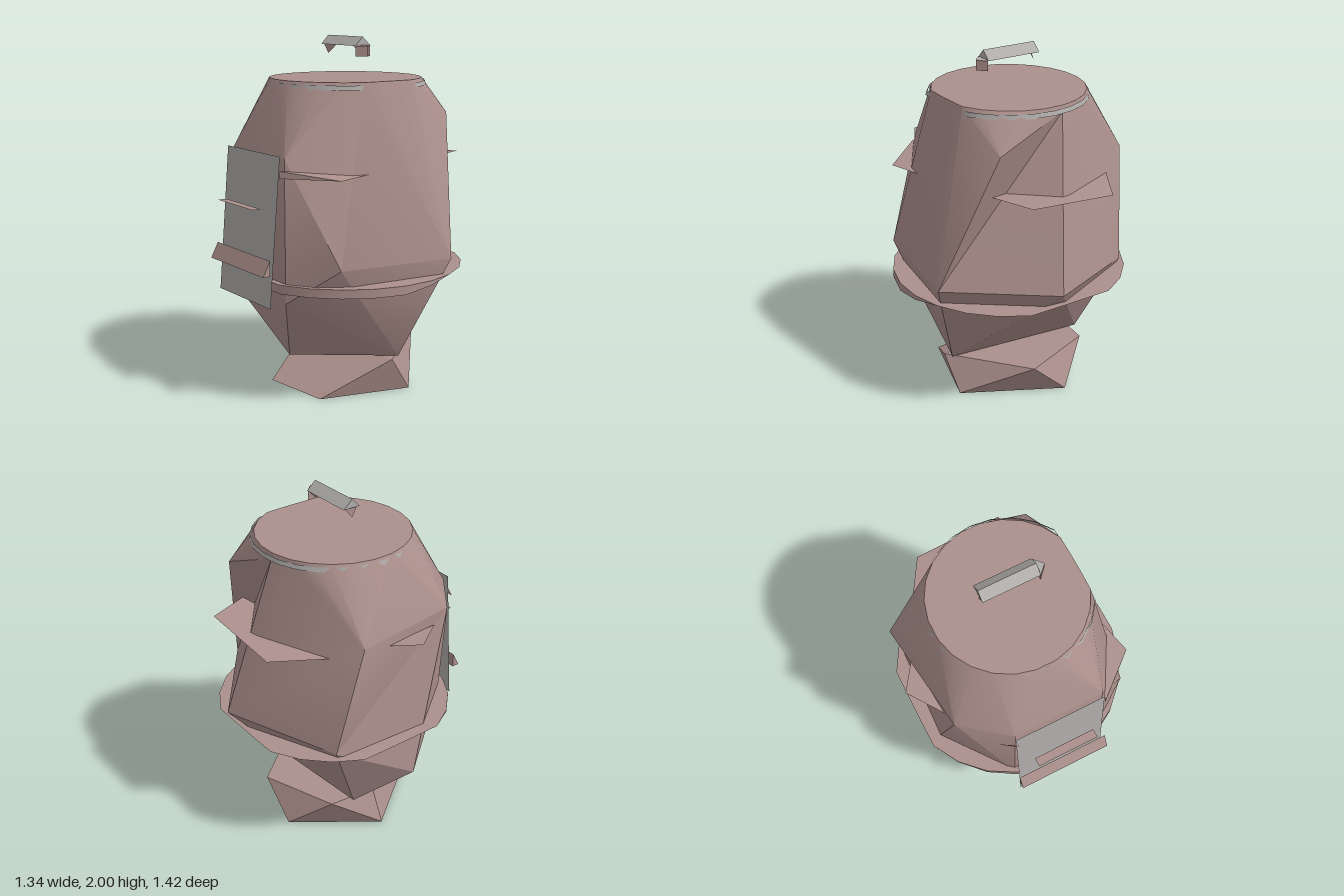
import * as THREE from 'three';
import { toCreasedNormals } from 'three/addons/utils/BufferGeometryUtils.js';
import { ConvexGeometry } from 'three/addons/geometries/ConvexGeometry.js';

const mat = (name, color) => {
  const m = new THREE.MeshStandardMaterial({ color, side: THREE.DoubleSide });
  m.name = name;
  return m;
};

export function createModel() {
  const group = new THREE.Group();
  const brown = mat('dusty brown', 0xac908c);
  const grey = mat('warm grey', 0xb0adab);
  const rad = THREE.MathUtils.degToRad;

  const add = (name, geometry, material) => {
    const mesh = new THREE.Mesh(geometry, material);
    mesh.name = name;
    group.add(mesh);
  };
  // faceted solid around a few corner points
  const hull = (points, crease = 0.5) =>
    toCreasedNormals(new ConvexGeometry(points.map(p => new THREE.Vector3(...p))), crease);
  // flat sheet from its outline corners, as a fan
  const sheet = (points) => {
    const corners = [];
    for (let i = 1; i < points.length - 1; i++) corners.push(...points[0], ...points[i], ...points[i + 1]);
    const g = new THREE.BufferGeometry();
    g.setAttribute('position', new THREE.Float32BufferAttribute(corners, 3));
    g.computeVertexNormals();
    return g;
  };
  // move every vertex by a rule
  const reshape = (geometry, rule) => {
    const p = geometry.attributes.position;
    const v = new THREE.Vector3();
    for (let i = 0; i < p.count; i++) {
      rule(v.fromBufferAttribute(p, i));
      p.setXYZ(i, v.x, v.y, v.z);
    }
    geometry.computeVertexNormals();
    return geometry;
  };

  // rim of the barrel, slightly flattened at its left and front
  const rim = [];
  for (let i = 0; i < 24; i++) {
    const a = rad(7.5 + 15 * i);
    rim.push([Math.min(0.43 * Math.cos(a), 0.4), 1.77, Math.min(0.435 * Math.sin(a) - 0.03, 0.4)]);
  }
  // corners shared by the three solids of the barrel
  const rimBack = [-0.05, 1.74, -0.47];
  const leftBack = [0.63, 0.79, -0.3];
  const rightBack = [-0.53, 0.73, -0.41];
  const rightFront = [-0.52, 1.38, 0.36];
  const frontUpper = [-0.26, 1.38, 0.565];
  const frontLower = [-0.26, 0.59, 0.565];
  const baseFront = [0.05, 0.21, 0.4];
  const baseRight = [-0.39, 0.21, -0.18];

  add('body', hull([
    ...rim.slice(0, 18), rim[23], rimBack,
    [-0.6, 1.38, -0.28], rightFront, frontUpper, [0.27, 1.38, 0.565],
    [0.54, 0.8, 0.39], leftBack, [0.09, 0.79, -0.71], rightBack,
    frontLower, [0.27, 0.59, 0.565], baseFront, [0.43, 0.21, -0.09], baseRight,
  ]), brown);
  // shoulder behind the left side, with a valley next to it
  add('backShoulder', hull([
    ...rim.slice(17), rimBack, [0.35, 1.57, -0.49], leftBack, [0, 1.77, -0.03], [0.1, 1.1, 0],
  ]), brown);
  // swelling low on the right side
  add('lowerBulge', hull([
    [-0.58, 0.4, 0.11], rightFront, rightBack, frontUpper, frontLower, baseFront, baseRight, [0, 0.8, 0],
  ]), brown);

  // thin band peeping out under the rim
  add('rimBand', reshape(
    new THREE.CylinderGeometry(0.446, 0.453, 0.025, 24, 1, true),
    v => v.set(Math.min(v.x + 0.008, 0.4), v.y + 1.743, Math.min(v.z - 0.033, 0.413))), grey);

  // foot
  add('foot', hull([
    [0.28, 0, 0.35], [-0.14, 0, 0.4], [0.43, 0, -0.17], [-0.12, 0, -0.46], [-0.45, 0, -0.01],
    [0.45, 0.205, -0.03], [-0.37, 0.205, -0.02], [-0.34, 0.205, -0.3], [0.1, 0.205, -0.46],
  ], 0.4), brown);

  // lower hoop: flat ring with a wall that thins out towards both ends
  const trim = (v) => {
    v.x = Math.max(v.x, -0.63);
    v.z = THREE.MathUtils.clamp(v.z, -0.63, 0.63) - 0.03;
  };
  const ringSheet = (start, length, segments) =>
    new THREE.RingGeometry(0.5, 0.68, segments, 1, start - Math.PI / 2, length).rotateX(-Math.PI / 2);
  const lower = (v) => 0.65 + 0.05 * Math.max(0, Math.min(1, (-v.x - 0.27) / 0.36), Math.min(1, -v.z / 0.25));
  add('hoopTop', reshape(ringSheet(rad(7.5), Math.PI * 2, 24), v => { trim(v); v.y = 0.7; }), brown);
  add('hoopUnderside', reshape(ringSheet(rad(-67.5), rad(180), 12), v => { trim(v); v.y = lower(v); }), brown);
  add('hoopWall', reshape(
    new THREE.CylinderGeometry(0.68, 0.68, 1, 12, 1, true, rad(-67.5), rad(180)),
    v => { const top = v.y > 0; trim(v); v.y = top ? 0.7 : lower(v); }), brown);

  // remaining slivers of the upper hoop
  const slivers = {
    back: [[-0.43, 1.28, -0.38], [-0.26, 1.28, -0.66], [0.26, 1.32, -0.66], [0.36, 1.32, -0.39]],
    right: [[-0.56, 1.32, -0.1], [-0.67, 1.32, 0.06], [-0.53, 1.31, 0.26]],
    left: [[0.27, 1.32, 0.6], [0.53, 1.28, 0.38], [0.47, 1.29, 0.12]],
    leftEdge: [[0.27, 1.32, 0.6], [0.53, 1.28, 0.38], [0.27, 1.28, 0.6]],
    front: [[-0.35, 1.32, 0.55], [-0.26, 1.32, 0.6], [-0.26, 1.28, 0.6]],
  };
  for (const [side, points] of Object.entries(slivers)) add(`${side}HoopSliver`, sheet(points), brown);

  // leaning front plate with its ledge and slat
  add('frontPlate', sheet([
    [-0.27, 0.575, 0.66], [0.265, 0.575, 0.66], [0.265, 1.395, 0.59], [-0.27, 1.395, 0.59],
  ]), grey);
  add('plateLedge', hull([-0.28, 0.275].flatMap(x => [
    [x, 0.76, 0.665], [x, 0.76, 0.71], [x, 0.845, 0.665],
  ]), 0.2), brown);
  add('plateSlat', sheet([
    [-0.185, 1.11, 0.66], [-0.185, 1.11, 0.71], [0.18, 1.11, 0.71], [0.18, 1.11, 0.66],
  ]), brown);

  // lid handle: ridged bar with a pointed post and two small braces
  add('handleBar', hull([-0.165, 0.163].flatMap(x => [
    [x, 1.95, -0.085], [x, 1.95, 0.02], [x, 2, -0.03],
  ]), 0.2), grey);
  const tip = (y) => [[0.163, y, -0.08], [0.163, y, 0.02], [0.21, y, -0.03]];
  add('handleTip', sheet(tip(1.953)), grey);
  add('handlePost', hull([...tip(1.893), ...tip(1.949)], 0.2), brown);
  add('rightBrace', sheet([[-0.165, 1.95, 0], [-0.165, 1.895, -0.03], [-0.12, 1.95, -0.06]]), brown);
  add('leftBrace', sheet([[0.11, 1.95, 0], [0.163, 1.9, -0.03], [0.163, 1.95, -0.08]]), brown);

  return group;
}
